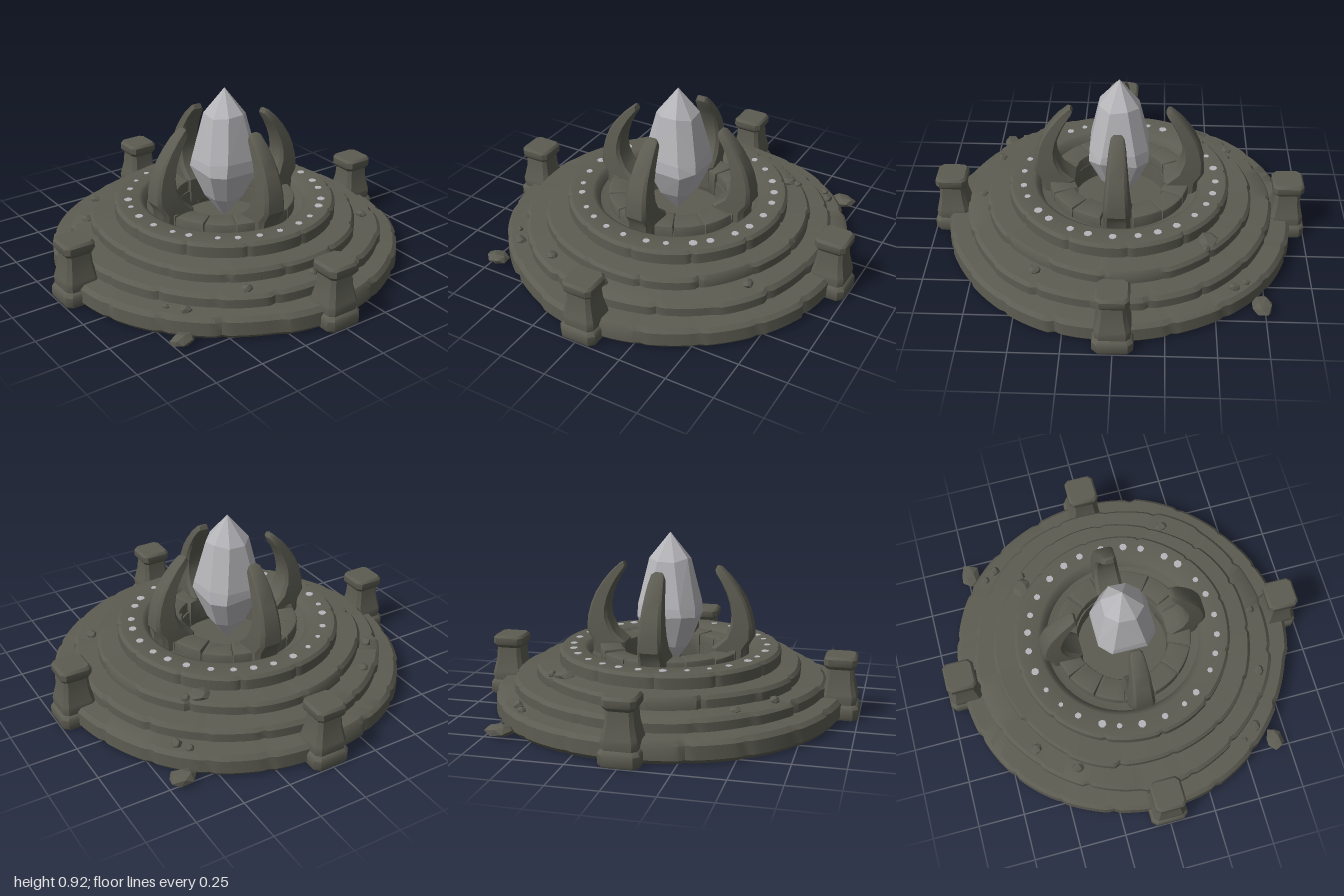
import * as THREE from 'three';
import { toCreasedNormals } from 'three/addons/utils/BufferGeometryUtils.js';
import { ConvexGeometry } from 'three/addons/geometries/ConvexGeometry.js';

const stone = new THREE.MeshStandardMaterial({ color: 0x5c5c52 });
stone.name = 'weathered stone';
const gem = new THREE.MeshStandardMaterial({ color: 0xb6b6ba });
gem.name = 'pale crystal';

// Repeatable pseudo-random value in 0..1
const hash = (n) => {
  const s = Math.sin(n * 127.1 + 11.7) * 43758.5453;
  return s - Math.floor(s);
};

function add(parent, name, geometry, material = stone) {
  const mesh = new THREE.Mesh(geometry, material);
  mesh.name = name;
  parent.add(mesh);
  return mesh;
}

// Chamfered unit square, counter-clockwise
const K = 0.74;
const SECTION = [[1, -K], [1, K], [K, 1], [-K, 1], [-1, K], [-1, -K], [-K, -1], [K, -1]];

// Closed skin over a stack of equal rings of points
function loft(rings, crease) {
  const n = rings[0].length;
  const index = [];
  for (let i = 0; i < rings.length - 1; i++) {
    for (let j = 0; j < n; j++) {
      const a = i * n + j, b = i * n + (j + 1) % n;
      index.push(a, b, b + n, a, b + n, a + n);
    }
  }
  const top = (rings.length - 1) * n;
  for (let j = 1; j < n - 1; j++) {
    index.push(0, j + 1, j, top, top + j, top + j + 1);
  }
  const geometry = new THREE.BufferGeometry();
  geometry.setAttribute('position', new THREE.Float32BufferAttribute(rings.flat(2), 3));
  geometry.setIndex(index);
  return toCreasedNormals(geometry, crease);
}

// Stepped round platform with a groove and a central pit
function platformGeometry() {
  const profile = [
    [0, 0], [0.905, 0], [0.922, 0.02], [0.92, 0.088], [0.9, 0.11],
    [0.82, 0.115], [0.82, 0.16], [0.802, 0.18],
    [0.7, 0.185], [0.7, 0.228], [0.685, 0.247],
    [0.585, 0.25], [0.585, 0.306], [0.57, 0.322],
    [0.455, 0.322], [0.435, 0.312], [0.415, 0.272], [0.375, 0.262],
    [0.25, 0.262], [0.245, 0.17], [0, 0.17],
  ].map(([x, y]) => new THREE.Vector2(x, y));
  const segments = 180;
  const blockSize = [9, 10, 12, 15];
  const geometry = new THREE.LatheGeometry(profile, segments);
  const p = geometry.attributes.position;
  for (let v = 0; v < p.count; v++) {
    const j = v % profile.length, i = Math.floor(v / profile.length) % segments;
    if (j < 1 || j > 13) continue;
    const tier = j < 5 ? 0 : j < 8 ? 1 : j < 11 ? 2 : 3;
    const step = (i + tier * 4) % segments;
    const block = Math.floor(step / blockSize[tier]);
    const angle = (i / segments) * Math.PI * 2;
    // each block sits slightly in or out, with a narrow joint between blocks
    const rough = tier === 3 ? 0.3 : 1;
    let shift = rough * (0.006 * Math.sin(angle * 5 + tier * 2) + 0.014 * (hash(block + tier * 50) - 0.5));
    if (step % blockSize[tier] === 0) shift -= 0.009;
    const scale = 1 + shift / profile[j].x;
    const topEdge = j === 4 || j === 7 || j === 10;
    const lift = topEdge ? 0.008 * (hash(block + tier * 31 + 9) - 0.6) : 0;
    p.setXYZ(v, p.getX(v) * scale, p.getY(v) + lift, p.getZ(v) * scale);
  }
  return toCreasedNormals(geometry, 0.65);
}

// One curved block of the inner ring
function curbGeometry(span, inner, outer, height) {
  const bevel = 0.01;
  const half = span / 2 - 0.035;
  const shape = new THREE.Shape();
  shape.absarc(0, 0, outer - bevel, -half, half, false);
  shape.absarc(0, 0, inner + bevel, half, -half, true);
  shape.closePath();
  const geometry = new THREE.ExtrudeGeometry(shape, {
    depth: height - 2 * bevel, bevelEnabled: true, bevelSize: bevel,
    bevelThickness: bevel, bevelSegments: 2, curveSegments: 5,
  });
  geometry.rotateX(-Math.PI / 2).translate(0, bevel, 0);
  return toCreasedNormals(geometry, 0.7);
}

// Curved claw leaning toward the centre: outer x,y, inner x,y, half width
function clawGeometry() {
  const spine = [
    [0.41, 0.2, 0.235, 0.2, 0.078], [0.415, 0.33, 0.235, 0.33, 0.077],
    [0.448, 0.385, 0.3, 0.385, 0.073], [0.443, 0.46, 0.331, 0.455, 0.067],
    [0.425, 0.53, 0.335, 0.51, 0.062], [0.4, 0.59, 0.325, 0.565, 0.057],
    [0.362, 0.65, 0.305, 0.62, 0.051], [0.318, 0.705, 0.278, 0.672, 0.045],
    [0.27, 0.75, 0.25, 0.715, 0.037], [0.252, 0.755, 0.242, 0.732, 0.024],
  ];
  return loft(spine.map(([ox, oy, ix, iy, w]) => SECTION.map(([u, v]) => {
    const t = (u + 1) / 2;
    const taper = 1 - 0.14 * t;
    return [ix + (ox - ix) * t, iy + (oy - iy) * t, -v * w * taper];
  })), 0.6);
}

// Square post with a wide foot and a cap: height, half width
function postGeometry() {
  const levels = [
    [0, 0.094], [0.012, 0.1], [0.058, 0.1], [0.07, 0.093], [0.078, 0.086],
    [0.115, 0.089], [0.13, 0.085], [0.2, 0.07], [0.258, 0.066], [0.27, 0.076],
    [0.28, 0.082], [0.312, 0.082], [0.326, 0.071],
  ];
  return loft(levels.map(([y, h]) => SECTION.map(([u, v]) => [u * h, y, -v * h])), 0.6);
}

// Faceted crystal: chamfered square rings between two points
function crystalGeometry() {
  const points = [new THREE.Vector3(0, 0.922, 0), new THREE.Vector3(0, 0.19, 0)];
  const rings = [[0.785, 0.102, 0.045], [0.545, 0.152, 0.085], [0.49, 0.155, 0.095], [0.33, 0.095, 0.05]];
  rings.forEach(([y, a, b], r) => {
    for (let i = 0; i < 4; i++) {
      for (const s of [-1, 1]) {
        const turn = i * Math.PI / 2;
        const wobble = 0.022 * (hash(i * 2 + s + r * 13) - 0.5);
        points.push(new THREE.Vector3(a, y + wobble, s * b).applyAxisAngle(new THREE.Vector3(0, 1, 0), turn));
      }
    }
  });
  return new ConvexGeometry(points);
}

// Rough rock with a flat-faced, uneven shape
function rockGeometry(sx, sy, sz, seed) {
  const points = [];
  for (let i = 0; i < 16; i++) {
    const a = i * 2.4, h = 1 - (i + 0.5) / 8, r = Math.sqrt(1 - h * h);
    const k = 0.8 + 0.25 * hash(seed * 17 + i);
    points.push(new THREE.Vector3(Math.cos(a) * r * k * sx, h * k * sy, Math.sin(a) * r * k * sz));
  }
  return new ConvexGeometry(points);
}

export function createModel() {
  const model = new THREE.Group();
  model.name = 'crystalAltar';

  add(model, 'platform', platformGeometry());

  // Inner ring of stones around the pit
  const curb = new THREE.Group();
  curb.name = 'innerCurb';
  model.add(curb);
  const count = 14;
  for (let i = 0; i < count; i++) {
    const geometry = curbGeometry(Math.PI * 2 / count, 0.235 + 0.025 * hash(i + 3), 0.372, 0.14 + 0.016 * hash(i));
    const block = add(curb, 'curbStone', geometry);
    block.position.y = 0.172;
    block.rotation.y = (i + 0.5) * Math.PI * 2 / count;
  }

  // Four claws and four posts
  const claw = clawGeometry(), post = postGeometry();
  for (let i = 0; i < 4; i++) {
    const arm = new THREE.Group();
    arm.name = 'clawAndPost';
    arm.rotation.y = i * Math.PI / 2;
    add(arm, 'claw', claw);
    add(arm, 'post', post).position.x = 0.9;
    model.add(arm);
  }

  add(model, 'crystal', crystalGeometry(), gem);

  // Pale studs set into the top step
  for (let i = 0; i < 28; i++) {
    const a = (i + 0.3 * hash(i)) * Math.PI * 2 / 28;
    const r = 0.012 + 0.011 * hash(i + 70);
    const stud = add(model, 'stud', new THREE.CylinderGeometry(r, r, 0.006, 7), gem);
    stud.position.set(Math.cos(a) * 0.512, 0.322, Math.sin(a) * 0.512);
    stud.rotation.y = hash(i + 20) * 3;
  }

  // Loose rocks: x, y, z, half sizes
  [
    [-0.73, 0.035, -0.67, 0.06, 0.035, 0.08], [0.675, 0.035, 0.715, 0.055, 0.035, 0.075],
    [-0.59, 0.115, -0.63, 0.035, 0.03, 0.03], [-0.65, 0.115, -0.59, 0.025, 0.02, 0.025],
    [-0.46, 0.25, -0.43, 0.055, 0.025, 0.06], [-0.45, 0.25, -0.5, 0.025, 0.02, 0.025],
    [0.4, 0.19, -0.62, 0.04, 0.02, 0.03], [0.68, 0.185, 0.35, 0.032, 0.025, 0.035],
    [-0.41, 0.185, 0.62, 0.04, 0.025, 0.03], [0.58, 0.115, 0.63, 0.03, 0.03, 0.035],
    [0.5, 0.115, 0.69, 0.018, 0.018, 0.018], [-0.6, 0.185, 0.46, 0.035, 0.02, 0.03],
    [0.74, 0.185, 0, 0.025, 0.022, 0.025],
  ].forEach(([x, y, z, sx, sy, sz], i) => {
    add(model, 'looseRock', rockGeometry(sx, sy, sz, i + 1)).position.set(x, y, z);
  });

  return model;
}
